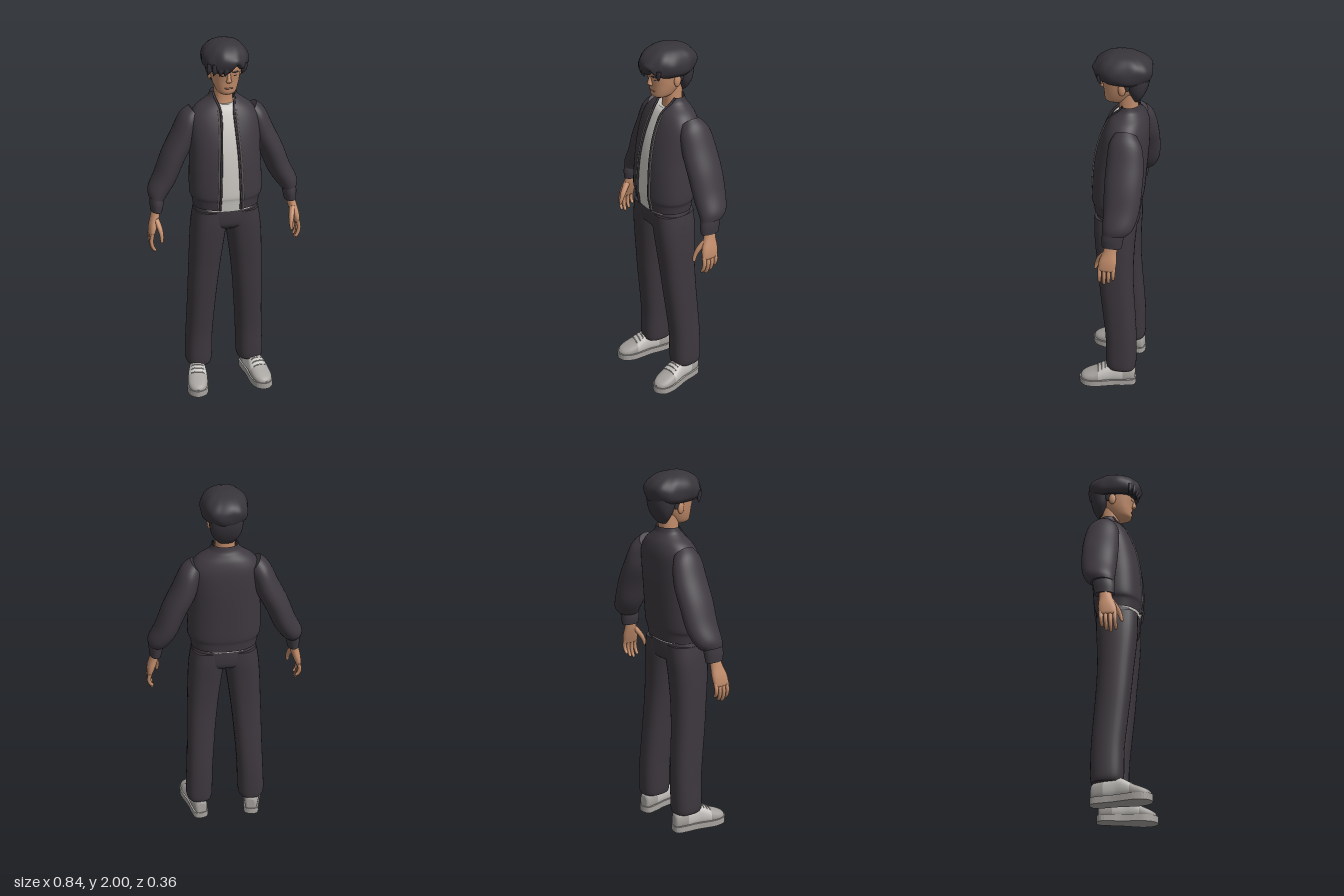
import * as THREE from 'three';

const mat = (name, color, side = THREE.FrontSide) => {
  const m = new THREE.MeshStandardMaterial({ color, side });
  m.name = name;
  return m;
};
const M = {
  jacket: mat('jacket charcoal', 0x3e3940, THREE.DoubleSide),
  trousers: mat('trouser charcoal', 0x3c373d),
  hair: mat('hair dark', 0x37343a),
  skin: mat('skin', 0xc48e6c),
  lip: mat('lip brown', 0x946650),
  shirt: mat('shirt off white', 0xc9c6c0),
  zip: mat('zip grey', 0xa8a29c),
  shoe: mat('shoe light', 0xc8c5c1),
  shoeGrey: mat('shoe grey', 0xa7a39f),
};

// Section: [x, y, z, halfWidth, halfDepth, tilt, roundness, frontGap]
const st = (y, zf, zb, a, n = 2.3, gap = 0) => [0, y, (zf + zb) / 2, a, (zf - zb) / 2, 0, n, gap];

// Smoothly interpolates a short list of sections
function refine(S, k = 5) {
  const out = [];
  for (let i = 0; i < S.length - 1; i++) {
    for (let j = 0; j < k; j++) {
      const t = j / k;
      out.push(S[i].map((p1, c) => {
        const p0 = S[Math.max(i - 1, 0)][c], p2 = S[i + 1][c], p3 = S[Math.min(i + 2, S.length - 1)][c];
        return 0.5 * (2 * p1 + (p2 - p0) * t + (2 * p0 - 5 * p1 + 4 * p2 - p3) * t * t
          + (3 * p1 - p0 - 3 * p2 + p3) * t * t * t);
      }));
    }
  }
  out.push(S[S.length - 1]);
  return out;
}

// One superellipse ring; upright rings run across (x, y) instead of (x, z)
function ring([x, y, z, a, b, tilt = 0, n = 2, gap = 0], s, segs, upright) {
  const t0 = gap > 0 ? Math.asin(Math.min(0.99, Math.pow(gap / a, n / 2))) : 0;
  const count = gap > 0 ? segs + 1 : segs, pts = [];
  for (let i = 0; i < count; i++) {
    const t = t0 + (2 * Math.PI - 2 * t0) * i / segs;
    const pow = (v) => Math.sign(v) * Math.pow(Math.abs(v), 2 / n);
    const u = a * pow(Math.sin(t)), v = b * pow(Math.cos(t));
    pts.push(upright ? new THREE.Vector3(s * (x + u), y + v, z)
      : new THREE.Vector3(s * (x + u * Math.cos(tilt)), y + u * Math.sin(tilt), z + v));
  }
  return pts;
}

// Skins rings into a surface, capped when closed, wound outwards
function skin(rings, open = false) {
  const pos = [], idx = [], n = rings[0].length, m = open ? n - 1 : n;
  rings.forEach((r) => r.forEach((p) => pos.push(p.x, p.y, p.z)));
  for (let r = 0; r < rings.length - 1; r++) {
    for (let i = 0; i < m; i++) {
      const a = r * n + i, b = r * n + (i + 1) % n;
      idx.push(a, b, a + n, b, b + n, a + n);
    }
  }
  if (!open) [rings[0], rings[rings.length - 1]].forEach((r, end) => {
    const base = pos.length / 3, c = new THREE.Vector3();
    r.forEach((p) => { pos.push(p.x, p.y, p.z); c.addScaledVector(p, 1 / n); });
    pos.push(c.x, c.y, c.z);
    for (let i = 0; i < n; i++) {
      const a = base + i, b = base + (i + 1) % n;
      end ? idx.push(a, b, base + n) : idx.push(b, a, base + n);
    }
  });
  const at = (i) => new THREE.Vector3().fromArray(pos, i * 3);
  let volume = 0;
  for (let i = 0; i < idx.length; i += 3) volume += at(idx[i]).cross(at(idx[i + 1])).dot(at(idx[i + 2]));
  if (volume < 0) idx.reverse();
  const g = new THREE.BufferGeometry();
  g.setAttribute('position', new THREE.Float32BufferAttribute(pos, 3));
  g.setIndex(idx);
  g.computeVertexNormals();
  return g;
}

function add(parent, name, geometry, material) {
  const mesh = new THREE.Mesh(geometry, material);
  mesh.name = name;
  parent.add(mesh);
  return mesh;
}
const loft = (parent, name, S, material, s = 1, segs = 32) =>
  add(parent, name, skin(refine(S).map((q) => ring(q, s, segs))), material);
const tube = (parent, name, pts, r, material) =>
  add(parent, name, new THREE.TubeGeometry(new THREE.CatmullRomCurve3(pts), 40, r, 6), material);
function ball(parent, name, p, scale, material) {
  const mesh = add(parent, name, new THREE.SphereGeometry(1, 16, 12), material);
  mesh.position.set(...p);
  mesh.scale.set(...scale);
  return mesh;
}

function buildTorso(g) {
  // Open jacket, from hem to standing collar
  const S = [
    st(1.1, 0.12, -0.127, 0.176, 2.3, 0.056), st(1.145, 0.126, -0.132, 0.184, 2.3, 0.055),
    st(1.18, 0.132, -0.14, 0.196, 2.3, 0.054), st(1.3, 0.127, -0.15, 0.194, 2.3, 0.05),
    st(1.4, 0.116, -0.158, 0.19, 2.3, 0.046), st(1.5, 0.094, -0.163, 0.19, 2.3, 0.04),
    st(1.58, 0.066, -0.162, 0.183, 2.3, 0.036), st(1.635, 0.04, -0.15, 0.15, 2.2, 0.036),
    st(1.67, 0.014, -0.133, 0.103, 2, 0.046), st(1.69, 0.002, -0.122, 0.08, 2, 0.054),
    st(1.716, -0.008, -0.116, 0.07, 2, 0.06),
  ];
  const rings = refine(S).map((q) => ring(q, 1, 48));
  add(g, 'jacket', skin(rings, true), M.jacket);
  const zipRings = refine(S.slice(0, 8).map((q) => [...q.slice(0, 3), q[3] + 0.002, q[4] + 0.002, 0, q[6], q[7] + 0.012]))
    .map((q) => ring(q, 1, 48));
  for (const side of [0, 48]) {
    tube(g, 'jacketEdge', rings.map((r) => r[side]), 0.006, M.jacket);
    tube(g, 'zipLine', zipRings.map((r) => r[side]), 0.003, M.zip);
  }
  // Shirt underneath
  const inner = S.slice(0, 8).map((q) => [...q.slice(0, 3), q[3] - 0.01, q[4] - 0.009, 0, q[6], 0]);
  inner[0][1] = 1.09;
  loft(g, 'shirt', [...inner, st(1.655, 0.01, -0.12, 0.075)], M.shirt, 1, 48);
}

function buildArm(g, s) {
  loft(g, 'sleeve', [
    [0.15, 1.6, -0.07, 0.05, 0.06, 0.9, 2], [0.182, 1.555, -0.075, 0.062, 0.086, 0.75, 2],
    [0.217, 1.467, -0.08, 0.066, 0.097, 0.5, 2], [0.27, 1.36, -0.081, 0.065, 0.098, 0.45, 2],
    [0.315, 1.25, -0.08, 0.062, 0.092, 0.45, 2], [0.357, 1.175, -0.07, 0.056, 0.079, 0.35, 2],
    [0.369, 1.14, -0.055, 0.043, 0.062, 0.25, 2],
  ], M.jacket, s);
  loft(g, 'cuff', [[0.368, 1.15, -0.052, 0.036, 0.057, 0.2, 2], [0.37, 1.11, -0.045, 0.037, 0.057, 0.15, 2],
    [0.373, 1.068, -0.043, 0.031, 0.052, 0.1, 2]], M.jacket, s);
  loft(g, 'palm', [
    [0.373, 1.09, -0.042, 0.022, 0.032, 0, 2], [0.382, 1.04, -0.035, 0.024, 0.036, 0.1, 2],
    [0.396, 0.99, -0.027, 0.022, 0.046, 0.1, 2.3], [0.405, 0.95, -0.022, 0.016, 0.046, 0, 2.4],
    [0.406, 0.936, -0.022, 0.011, 0.04, 0, 2.4],
  ], M.skin, s, 20);
  // Curled fingers, little finger first
  [0.875, 0.853, 0.843, 0.856].forEach((tip, i) => {
    const z = -0.058 + i * 0.024, d = tip - 0.95;
    loft(g, 'finger', [
      [0.404, 0.955, z, 0.011, 0.012, 0, 2], [0.412, 0.95 + d * 0.4, z + 0.001, 0.011, 0.011, -0.1, 2],
      [0.406, 0.95 + d * 0.75, z + 0.003, 0.01, 0.01, -0.4, 2], [0.394, tip + 0.004, z + 0.004, 0.008, 0.008, -0.6, 2],
      [0.391, tip, z + 0.004, 0.003, 0.003, -0.6, 2],
    ], M.skin, s, 10);
  });
  loft(g, 'thumb', [
    [0.38, 1.035, -0.015, 0.015, 0.02, 0, 2], [0.367, 0.99, 0.018, 0.015, 0.018, 0, 2],
    [0.36, 0.95, 0.038, 0.011, 0.012, 0, 2], [0.361, 0.92, 0.046, 0.008, 0.008, 0, 2],
    [0.362, 0.914, 0.047, 0.003, 0.003, 0, 2],
  ], M.skin, s, 12);
}

function buildLeg(g, s) {
  const leg = (y, zf, zb, out, inn) => [(out + inn) / 2, y, (zf + zb) / 2, (out - inn) / 2, (zf - zb) / 2, 0, 2.5];
  loft(g, 'trouserLeg', [
    leg(0.112, 0.03, -0.13, 0.216, 0.08), leg(0.15, 0.036, -0.135, 0.223, 0.074), leg(0.3, 0.038, -0.134, 0.217, 0.07),
    leg(0.45, 0.053, -0.125, 0.211, 0.06), leg(0.6, 0.07, -0.114, 0.207, 0.048), leg(0.75, 0.084, -0.108, 0.202, 0.032),
    leg(0.9, 0.1, -0.112, 0.196, 0.012), leg(1.0, 0.107, -0.118, 0.188, -0.002), leg(1.08, 0.106, -0.116, 0.175, -0.005),
  ], M.trousers, s);

  // Shoe, toes turned slightly out
  const shoe = new THREE.Group();
  shoe.name = 'shoe';
  shoe.position.x = s * 0.165;
  shoe.rotation.y = s * 0.18;
  g.add(shoe);
  const half = [[0.036, -0.125], [0.045, -0.07], [0.046, -0.01], [0.056, 0.06], [0.06, 0.11], [0.045, 0.162]];
  const outline = [[0, -0.138], ...half, [0, 0.187], ...half.map(([x, z]) => [-x, z]).reverse()];
  const shape = new THREE.Shape(new THREE.CatmullRomCurve3(
    outline.map(([x, z]) => new THREE.Vector3(x, z, 0)), true).getPoints(48).slice(0, -1)
    .map((p) => new THREE.Vector2(p.x, p.y)));
  const sole = new THREE.ExtrudeGeometry(shape, { depth: 0.036, bevelEnabled: false });
  add(shoe, 'sole', sole.rotateX(Math.PI / 2).translate(0, 0.036, 0), M.shoeGrey);
  const upper = refine([[-0.132, 0.022, 0.1], [-0.118, 0.035, 0.115], [-0.06, 0.043, 0.13], [0.0, 0.045, 0.138],
    [0.04, 0.051, 0.126], [0.09, 0.056, 0.095], [0.135, 0.051, 0.075], [0.165, 0.035, 0.06], [0.179, 0.012, 0.045]])
    .map(([z, w, top]) => ring([0, (top + 0.014) / 2, z, w, (top - 0.014) / 2, 0, 2.4], 1, 28, true));
  add(shoe, 'heelPanel', skin(upper.slice(0, 11)), M.shoeGrey);
  add(shoe, 'shoeUpper', skin(upper.slice(10, 25)), M.shoe);
  add(shoe, 'toeCap', skin(upper.slice(24)), M.shoeGrey);
  for (let i = 0; i < 4; i++) {
    const r = upper[18 + i * 2];
    tube(shoe, 'lace', [25, 26, 27, 0, 1, 2, 3].map((k) => r[k]), 0.003, M.shoeGrey);
  }
}

function buildHead(g) {
  loft(g, 'neck', [st(1.62, 0.0, -0.11, 0.058), st(1.68, -0.008, -0.105, 0.05), st(1.78, 0.0, -0.11, 0.052)], M.skin);
  loft(g, 'head', [
    st(1.722, 0.05, -0.02, 0.03), st(1.735, 0.065, -0.05, 0.048), st(1.765, 0.069, -0.075, 0.062),
    st(1.8, 0.073, -0.1, 0.072), st(1.84, 0.081, -0.12, 0.079), st(1.875, 0.086, -0.13, 0.083),
    st(1.92, 0.075, -0.13, 0.08),
  ], M.skin);
  loft(g, 'nose', [[0, 1.845, 0.077, 0.008, 0.006, 0, 2], [0, 1.815, 0.08, 0.011, 0.013, 0, 2],
    [0, 1.802, 0.079, 0.015, 0.015, 0, 2], [0, 1.793, 0.073, 0.01, 0.006, 0, 2]], M.skin, 1, 14);
  ball(g, 'mouth', [0, 1.762, 0.066], [0.024, 0.005, 0.005], M.lip);
  for (const s of [1, -1]) {
    ball(g, 'ear', [s * 0.079, 1.82, -0.035], [0.011, 0.033, 0.02], M.skin);
    ball(g, 'eye', [s * 0.032, 1.832, 0.069], [0.014, 0.005, 0.005], M.hair).rotation.y = s * 0.4;
    ball(g, 'eyebrow', [s * 0.034, 1.85, 0.074], [0.022, 0.005, 0.005], M.hair).rotation.y = s * 0.4;
    loft(g, 'sideburn', [[0.074, 1.87, -0.045, 0.012, 0.05, 0, 2], [0.076, 1.845, -0.045, 0.008, 0.035, 0, 2],
      [0.075, 1.815, -0.06, 0.005, 0.01, 0, 2]], M.hair, s, 12);
  }
  // Full hair with wavy locks, parted over the forehead
  const rings = refine([
    st(1.85, 0.095, -0.155, 0.096), st(1.87, 0.117, -0.17, 0.114), st(1.9, 0.125, -0.18, 0.12),
    st(1.93, 0.118, -0.178, 0.116), st(1.96, 0.096, -0.155, 0.1), st(1.985, 0.06, -0.11, 0.07),
    st(1.998, 0.022, -0.05, 0.028),
  ]).map((q) => ring(q, 1, 64).map((p, i) => {
    const t = i / 64 * 2 * Math.PI, y = p.y;
    const k = 1 + 0.018 * Math.sin(5 * t + 40 * y) + 0.012 * Math.sin(11 * t - 30 * y);
    p.x *= k;
    p.z = q[2] + (p.z - q[2]) * k;
    const low = Math.max(0, 1 - (y - 1.85) / 0.08);
    if (p.z > 0) p.y += 0.035 * low * Math.exp(-(((p.x - 0.04) / 0.025) ** 2));
    return p;
  }));
  add(g, 'hair', skin(rings), M.hair);
  loft(g, 'napeHair', [st(1.88, -0.02, -0.165, 0.09), st(1.84, -0.04, -0.163, 0.086), st(1.8, -0.058, -0.152, 0.078),
    st(1.765, -0.075, -0.135, 0.06), st(1.738, -0.085, -0.115, 0.035)], M.hair);
  for (const x of [-0.095, -0.07, -0.042, -0.015, 0.08]) {
    const z = 0.112 * Math.sqrt(1 - (x / 0.125) ** 2) - 0.005;
    loft(g, 'fringeLock', [[x, 1.9, z, 0.018, 0.012, 0, 2], [x - 0.003, 1.865, z, 0.015, 0.01, 0, 2],
      [x - 0.012, 1.838, z - 0.008, 0.002, 0.002, 0, 2]], M.hair, 1, 10);
  }
}

export function createModel() {
  const model = new THREE.Group();
  model.name = 'standingMan';
  const part = (name, build, s) => {
    const g = new THREE.Group();
    g.name = name;
    build(g, s);
    model.add(g);
  };
  part('torso', buildTorso);
  part('hips', (g) => loft(g, 'trouserSeat', [st(0.965, 0.06, -0.07, 0.14), st(0.995, 0.1, -0.112, 0.184),
    st(1.05, 0.11, -0.12, 0.181), st(1.12, 0.108, -0.115, 0.163)], M.trousers));
  part('head', buildHead);
  for (const s of [1, -1]) {
    const side = s > 0 ? 'left' : 'right';
    part(side + 'Arm', buildArm, s);
    part(side + 'Leg', buildLeg, s);
  }
  return model;
}
